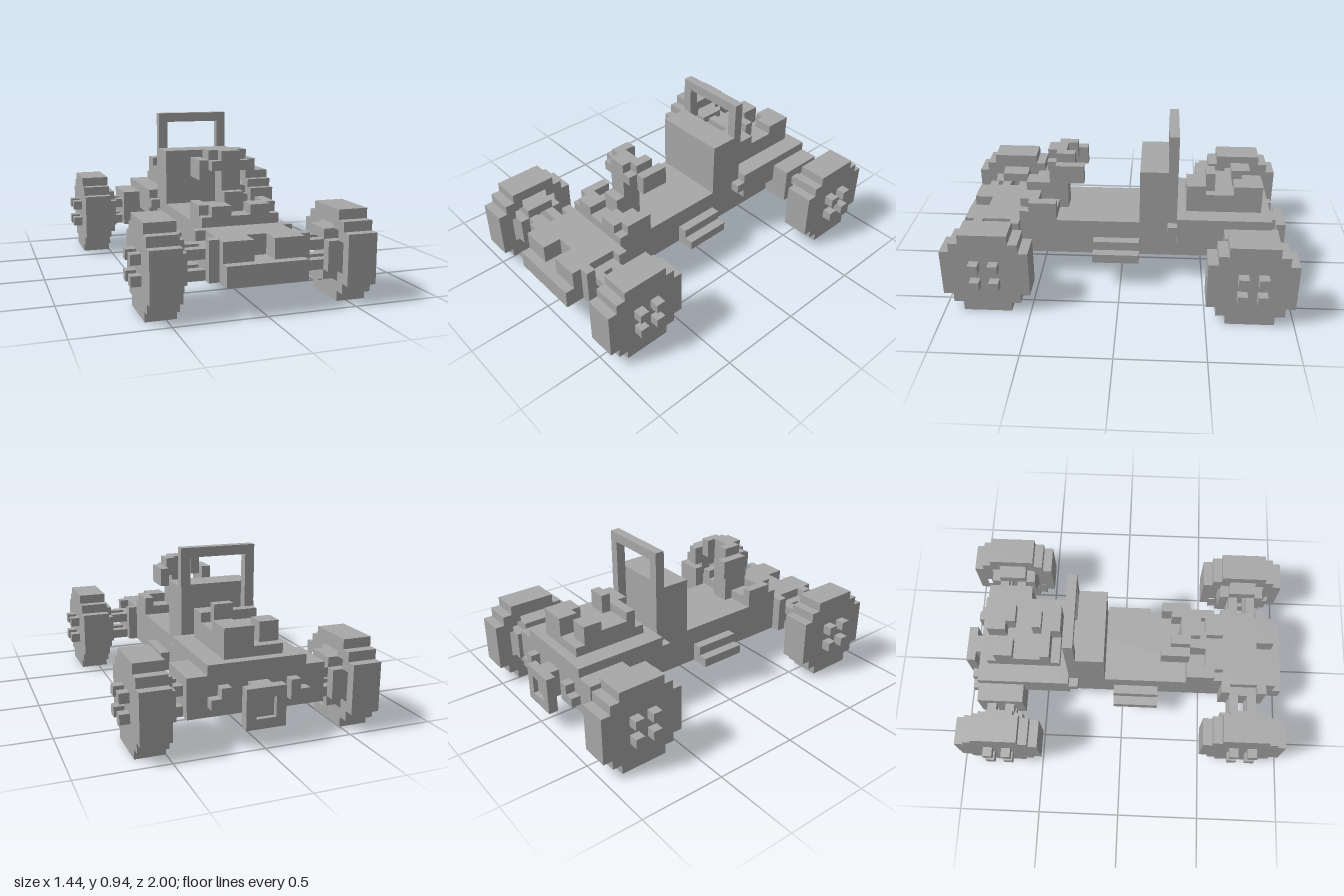
import * as THREE from 'three';

const U = 1 / 18; // size of one block
const grey = new THREE.MeshStandardMaterial({ color: 0xa8a8a8 });
grey.name = 'plain grey';

// Box given by its limits in block units
function box(parent, name, x0, x1, y0, y1, z0, z1) {
  const m = new THREE.Mesh(new THREE.BoxGeometry(x1 - x0, y1 - y0, z1 - z0), grey);
  m.position.set((x0 + x1) / 2, (y0 + y1) / 2, (z0 + z1) / 2);
  m.name = name;
  parent.add(m);
  return m;
}

// The same box on both sides
function pair(parent, name, x0, x1, ...rest) {
  box(parent, name + 'Left', x0, x1, ...rest);
  box(parent, name + 'Right', -x1, -x0, ...rest);
}

function group(parent, name) {
  const g = new THREE.Group();
  g.name = name;
  parent.add(g);
  return g;
}

// Stepped circle: a quarter outline turned four times
function steppedPoints(quarter) {
  const pts = [];
  let q = quarter;
  for (let i = 0; i < 4; i++) {
    for (const [x, y] of q) pts.push(new THREE.Vector2(x, y));
    q = q.map(([x, y]) => [y, -x]);
  }
  return pts;
}
const TYRE = steppedPoints([[2.5, 4.5], [2.5, 3.5], [3.5, 3.5], [3.5, 2.5], [4.5, 2.5]]);
const RECESS = steppedPoints([[1.5, 3.5], [1.5, 2.5], [2.5, 2.5], [2.5, 1.5], [3.5, 1.5]]);
const HUB = steppedPoints([[1.5, 2.5], [1.5, 1.5], [2.5, 1.5]]);
const BORE = steppedPoints([[1.5, 1.5]]);

// Stepped disc lying across x, from x0 to x1
function disc(parent, name, outline, hole, x0, x1, z) {
  const shape = new THREE.Shape(outline);
  if (hole) shape.holes.push(new THREE.Path(hole));
  const geo = new THREE.ExtrudeGeometry(shape, { depth: x1 - x0, bevelEnabled: false });
  geo.rotateY(Math.PI / 2);
  const m = new THREE.Mesh(geo, grey);
  m.position.set(x0, 4.5, z);
  m.name = name;
  parent.add(m);
}

// Wheel whose inner face is at distance x from the middle
function wheel(parent, name, side, x, z, rodStart) {
  const g = group(parent, name);
  const d = (part, outline, hole, a, b) =>
    disc(g, part, outline, hole, Math.min(side * a, side * b), Math.max(side * a, side * b), z);
  d('tyre', TYRE, null, x + 1, x + 3);
  d('tyreRim', TYRE, RECESS, x, x + 1);
  d('hub', HUB, BORE, x - 1, x + 1);
  for (const y of [3, 5]) for (const dz of [-1.5, 0.5]) {
    const a = side * rodStart, b = side * (x + 4);
    box(g, 'axleRod', Math.min(a, b), Math.max(a, b), y, y + 1, z + dz, z + dz + 1);
  }
}

export function createModel() {
  const model = new THREE.Group();
  model.name = 'buggy';
  const car = group(model, 'car');
  car.scale.setScalar(U);

  // Chassis with a ladder frame underneath
  const chassis = group(car, 'chassis');
  box(chassis, 'deck', -4, 4, 4, 7, -11, 14);
  pair(chassis, 'frameRail', 3, 4, 3, 4, -11, 14);
  for (const z of [-10, -7, -4, 0, 4, 7, 10, 13]) {
    box(chassis, 'crossbar', -3, 3, 3, 4, z, z + 1);
  }

  // Side steps, slightly staggered
  const steps = group(car, 'sideSteps');
  box(steps, 'stepLeft', 4, 6, 3, 4, -2, 3);
  box(steps, 'stepUpperLeft', 4, 5, 4, 5, -2, 3);
  box(steps, 'stepRight', -6, -4, 3, 4, -1, 4);
  box(steps, 'stepUpperRight', -5, -4, 4, 5, -1, 4);

  // Nose and front axle mounts
  const nose = group(car, 'nose');
  box(nose, 'bumper', -4, 4, 3, 5, 14, 18);
  pair(nose, 'headlightBlock', 1, 4, 5, 7, 14, 17);
  box(nose, 'grille', -1, 1, 5, 7, 14, 15);
  pair(nose, 'axleMount', 4, 5, 3, 7, 11, 12);
  pair(nose, 'axleMountFront', 4, 5, 3, 7, 15, 16);
  pair(nose, 'axleMountCore', 4, 5, 3, 6, 12, 15);

  // Dashboard cowl
  const cowl = group(car, 'cowl');
  box(cowl, 'cowlBase', -4, 4, 7, 8, 7, 11);
  pair(cowl, 'cowlSide', 1, 3, 8, 9, 9, 11);
  pair(cowl, 'cowlEdge', 3, 4, 8, 9, 7, 10);
  box(cowl, 'cowlMiddle', -1, 1, 8, 10, 6, 9);

  // Steering column and handlebar
  const steering = group(car, 'steering');
  box(steering, 'column', -1, 1, 7, 14, 6, 8);
  pair(steering, 'barTop', 1, 2, 12, 14, 5, 7);
  pair(steering, 'barFront', 1, 2, 12, 13, 7, 8);
  pair(steering, 'barEnd', 2, 3, 11, 13, 4, 7);

  // Seat and roll bar
  const seat = group(car, 'seat');
  box(seat, 'seatBack', -4, 4, 7, 13, -5, -2);
  pair(seat, 'rollBarPost', 3, 4, 7, 16, -6, -5);
  box(seat, 'rollBarTop', -4, 4, 16, 17, -6, -5);

  // Rear body
  const rear = group(car, 'rearBody');
  box(rear, 'axleHousing', -7, 7, 3, 7, -16, -11);
  box(rear, 'rearDeck', -5, 5, 7, 8, -16, -6);
  pair(rear, 'rearSide', 4, 5, 5, 7, -11, -6);
  pair(rear, 'rearSideTip', 4, 5, 6, 7, -6, -5);

  // Engine
  const engine = group(car, 'engine');
  box(engine, 'engineBlock', -3, 3, 8, 9, -15, -7);
  box(engine, 'cylinderHead', -3, 3, 9, 10, -12, -8);
  box(engine, 'airIntake', 0, 3, 9, 11, -9, -7);
  box(engine, 'airStack', 0, 2, 10, 12, -10, -9);
  box(engine, 'carburettor', -3, 0, 9, 11, -9, -8);
  box(engine, 'rearCover', 0, 3, 9, 11, -15, -13);
  box(engine, 'rearCoverEdge', 1, 3, 9, 11, -13, -12);
  box(engine, 'fan', -3, -1, 9, 11, -14, -12);

  // Square tow frame and tail lights
  const tail = group(car, 'tail');
  box(tail, 'towFrameTop', -2, 2, 5, 6, -18, -17);
  box(tail, 'towFrameBottom', -2, 2, 2, 3, -18, -17);
  pair(tail, 'towFrameSide', 1, 2, 3, 5, -18, -17);
  box(tail, 'towMount', -1, 1, 3, 6, -17.5, -16);
  pair(tail, 'tailLight', 3, 4, 4, 6, -17, -16);
  pair(tail, 'tailLightOuter', 4, 5, 4, 5, -17, -16);

  // Wheels
  for (const [side, label] of [[1, 'Left'], [-1, 'Right']]) {
    wheel(car, 'frontWheel' + label, side, 8, 13.5, 5);
    wheel(car, 'rearWheel' + label, side, 9, -13.5, 7);
  }
  return model;
}
